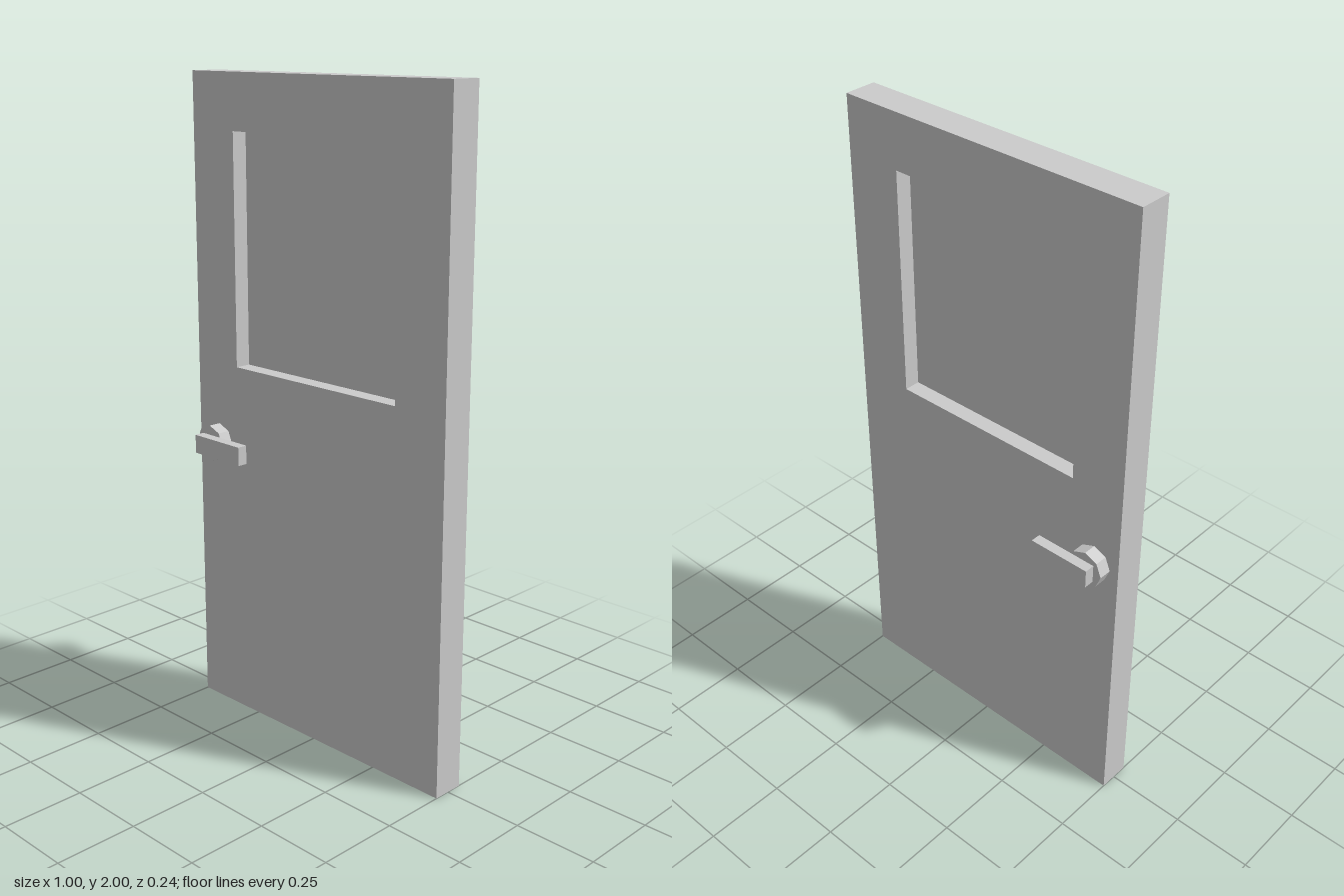
import * as THREE from 'three';

const DOOR = { w: 1.0, h: 2.0, t: 0.1 };
const WIN = { x0: -0.326, x1: 0.32, y0: 1.128, y1: 1.832 };

function rectPoints(x0, y0, x1, y1) {
  return [[x0, y0], [x1, y0], [x1, y1], [x0, y1]].map(([x, y]) => new THREE.Vector2(x, y));
}

export function createModel() {
  const group = new THREE.Group();
  group.name = 'door';
  const grey = new THREE.MeshStandardMaterial({ color: 0xcccccc, flatShading: true });
  const thin = grey.clone();
  thin.side = THREE.DoubleSide;

  const add = (parent, name, geometry, x, y, z, material = grey) => {
    const mesh = new THREE.Mesh(geometry, material);
    mesh.name = name;
    mesh.position.set(x, y, z);
    parent.add(mesh);
    return mesh;
  };

  // Door slab with the window opening
  const slab = new THREE.Shape(rectPoints(-DOOR.w / 2, 0, DOOR.w / 2, DOOR.h));
  slab.holes.push(new THREE.Path(rectPoints(WIN.x0, WIN.y0, WIN.x1, WIN.y1).reverse()));
  const slabGeometry = new THREE.ExtrudeGeometry(slab, { depth: DOOR.t, bevelEnabled: false });
  add(group, 'doorSlab', slabGeometry, 0, 0, -DOOR.t / 2);

  // Window pane, midway through the slab so both faces are recessed
  add(group, 'windowPane', new THREE.PlaneGeometry(WIN.x1 - WIN.x0, WIN.y1 - WIN.y0),
    (WIN.x0 + WIN.x1) / 2, (WIN.y0 + WIN.y1) / 2, 0, thin);

  // Handle on each face: octagonal rose and a flat lever
  for (const [side, s] of [['front', 1], ['back', -1]]) {
    const handle = new THREE.Group();
    handle.name = side + 'Handle';
    const rose = new THREE.CylinderGeometry(0.0585, 0.0585, 0.04, 8).rotateX(Math.PI / 2);
    add(handle, 'rose', rose, -0.412, 0.876, s * 0.07);
    add(handle, 'lever', new THREE.BoxGeometry(0.198, 0.058, 0.032), -0.344, 0.876, s * 0.106);
    group.add(handle);
  }
  return group;
}
